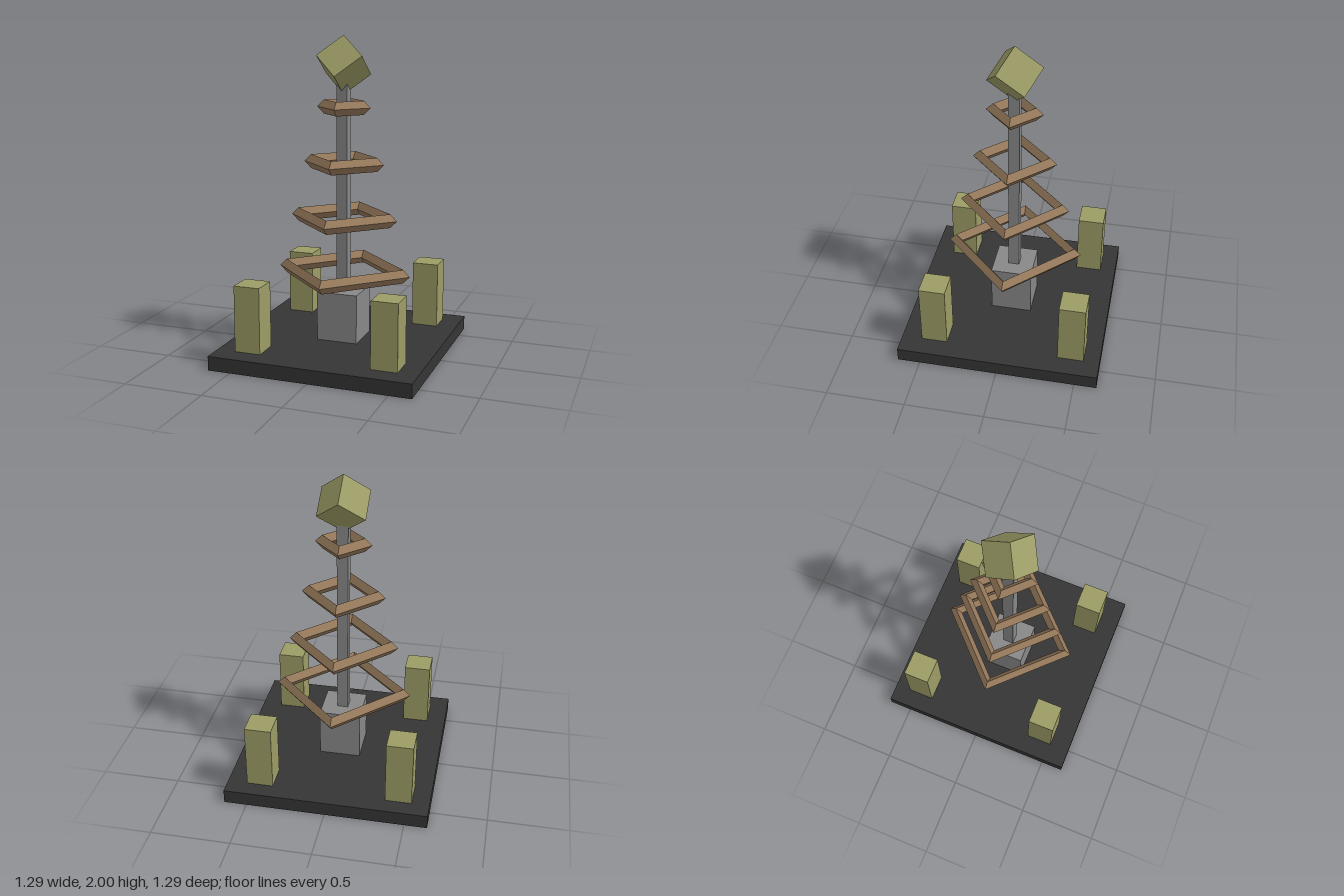
import * as THREE from 'three';

const paint = (color) => new THREE.MeshStandardMaterial({ color, flatShading: true });

export function createModel() {
  const model = new THREE.Group();
  model.name = 'ringTower';

  const dark = paint(0x353535);
  const grey = paint(0x888888);
  const olive = paint(0x9c9c66);
  const brown = paint(0x977a5c);

  const add = (name, geometry, material, x, y, z) => {
    const mesh = new THREE.Mesh(geometry, material);
    mesh.name = name;
    mesh.position.set(x, y, z);
    model.add(mesh);
    return mesh;
  };
  // Box standing between two heights
  const block = (name, width, y0, y1, material, x = 0, z = 0) =>
    add(name, new THREE.BoxGeometry(width, y1 - y0, width), material, x, (y0 + y1) / 2, z);

  // Ground slab, pedestal and mast
  block('basePlate', 1.286, 0, 0.09, dark);
  block('pedestal', 0.262, 0.09, 0.403, grey);
  block('mast', 0.07, 0.403, 1.74, grey);

  // Corner pillars, placed slightly unevenly
  const pillars = [
    ['backRightPillar', -0.448, -0.457],
    ['backLeftPillar', 0.434, -0.457],
    ['frontRightPillar', -0.44, 0.429],
    ['frontLeftPillar', 0.434, 0.429],
  ];
  for (const [name, x, z] of pillars) block(name, 0.167, 0.09, 0.508, olive, x, z);

  // Four square rings with a diamond section, shrinking upward
  for (let i = 0; i < 4; i++) {
    const ring = new THREE.TorusGeometry(0.393 - i * 0.0872, 0.0436, 4, 4).rotateX(Math.PI / 2);
    add(`ring${i + 1}`, ring, brown, 0, 0.518 + i * 0.3475, 0);
  }

  // Cube balanced on one corner
  const cube = add('topCube', new THREE.BoxGeometry(0.209, 0.209, 0.209), olive, 0, 1.819, 0);
  cube.rotation.set(Math.atan(Math.SQRT2), Math.PI / 4, 0);

  return model;
}
